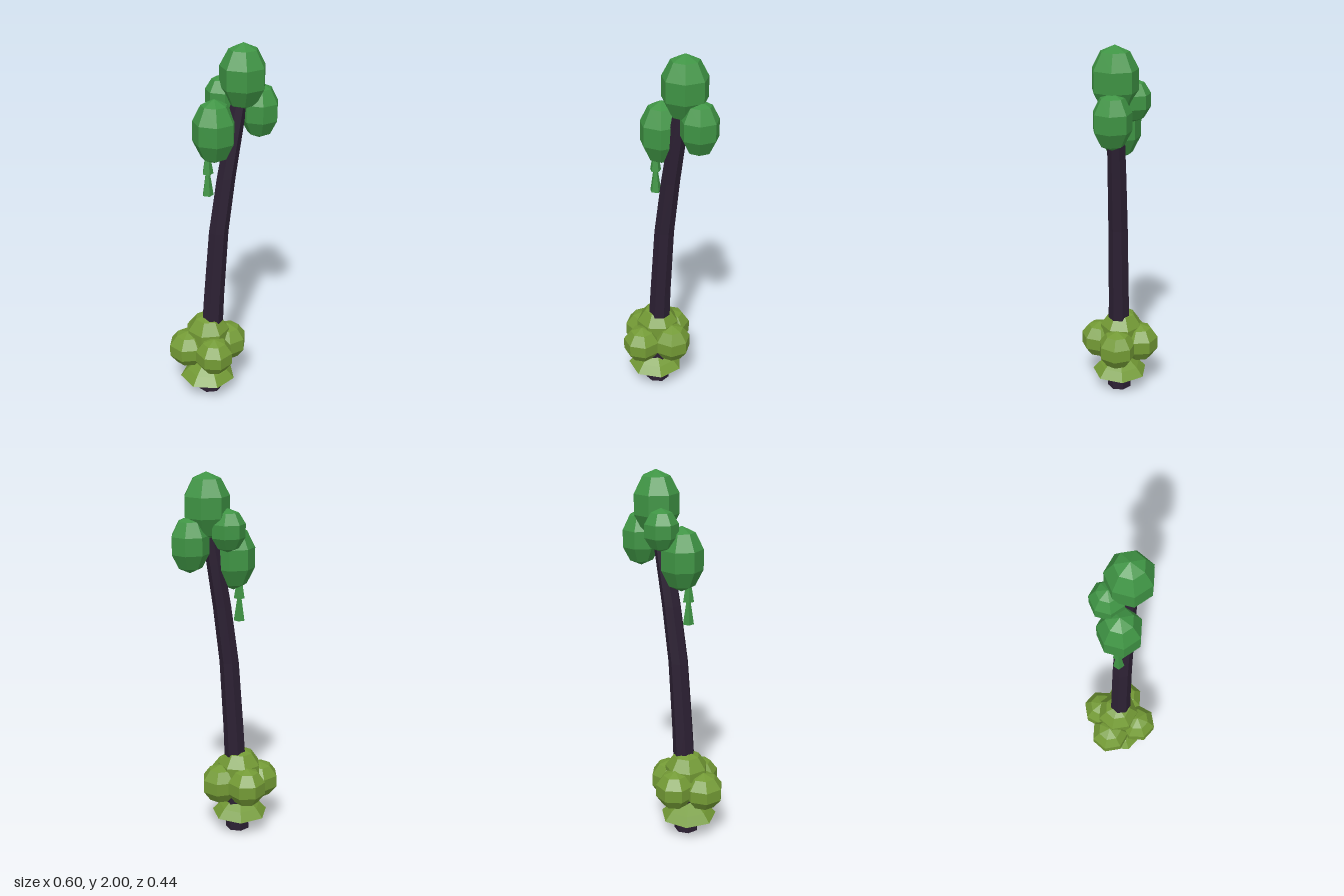
import * as THREE from 'three';

const material = (name, color, side = THREE.FrontSide) =>
  new THREE.MeshStandardMaterial({ name, color, side, flatShading: true });

export function createModel() {
  const model = new THREE.Group();
  model.name = 'tree';

  const bark = material('dark bark', 0x2c2033);
  const wood = material('cut wood', 0x8a5a34);
  const leaf = material('crown green', 0x3f9444, THREE.DoubleSide);
  const moss = material('shrub olive', 0x739a35, THREE.DoubleSide);

  const add = (name, geometry, mat, x = 0, y = 0, z = 0) => {
    const mesh = new THREE.Mesh(geometry, mat);
    mesh.name = name;
    mesh.position.set(x, y, z);
    model.add(mesh);
    return mesh;
  };

  // Seven-sided foliage clump with one corner pointing along angle dir (0 = +x, PI/2 = +z)
  const clump = (name, mat, [x, y, z], r, ry, dir) => {
    const g = new THREE.SphereGeometry(1, 7, 5);
    g.rotateY(Math.PI - dir);
    g.scale(r * 1.04, ry, r * 1.04);
    add(name, g, mat, x, y, z);
  };

  // Leaning trunk: a tapered cylinder whose rings follow a curve
  const lean = new THREE.CatmullRomCurve3([
    [-0.075, 0.01], [-0.068, 0.25], [-0.056, 0.5], [-0.022, 1],
    [0.035, 1.4], [0.08, 1.65], [0.1, 1.78],
  ].map(([x, y]) => new THREE.Vector3(x, y, 0)));
  const trunk = new THREE.CylinderGeometry(0.04, 0.067, 1, 7, 8);
  trunk.rotateY(Math.PI / 2 + Math.PI / 7);
  const p = trunk.attributes.position;
  for (let i = 0; i < p.count; i++) {
    const c = lean.getPoint(p.getY(i) + 0.5);
    p.setXYZ(i, p.getX(i) + c.x, c.y, p.getZ(i));
  }
  add('trunk', trunk, bark);
  add('trunkCore', new THREE.CylinderGeometry(0.028, 0.028, 0.03, 7), wood, -0.075, 0.015, 0);

  // Crown
  clump('crownTop', leaf, [0.11, 1.83, 0], 0.12, 0.17, 0);
  clump('crownRight', leaf, [-0.042, 1.56, -0.003], 0.113, 0.17, 0);
  clump('crownLeft', leaf, [0.203, 1.645, 0], 0.1, 0.145, 0);
  clump('crownBack', leaf, [0.032, 1.715, -0.082], 0.09, 0.11, 0);

  // Hanging vine: two flared tufts
  add('vineUpper', new THREE.CylinderGeometry(0.01, 0.03, 0.12, 5), leaf, -0.08, 1.4, 0);
  add('vineLower', new THREE.CylinderGeometry(0.009, 0.03, 0.14, 5), leaf, -0.08, 1.29, 0);

  // Shrub ring around the trunk
  clump('shrubTop', moss, [-0.08, 0.365, -0.01], 0.118, 0.13, Math.PI);
  clump('shrubRight', moss, [-0.195, 0.29, -0.025], 0.108, 0.105, Math.PI);
  clump('shrubLeft', moss, [0.033, 0.3, 0], 0.104, 0.11, 0);
  clump('shrubFront', moss, [-0.09, 0.297, 0.115], 0.104, 0.105, Math.PI / 2);
  clump('shrubBack', moss, [-0.067, 0.305, -0.115], 0.104, 0.11, -Math.PI / 2);

  // Open, flared skirt below the shrubs
  const skirt = new THREE.LatheGeometry(
    [[0.155, 0.1], [0.115, 0.145], [0.05, 0.195]].map(([r, y]) => new THREE.Vector2(r, y)), 7);
  add('shrubSkirt', skirt, moss, -0.088, 0, 0);

  return model;
}
